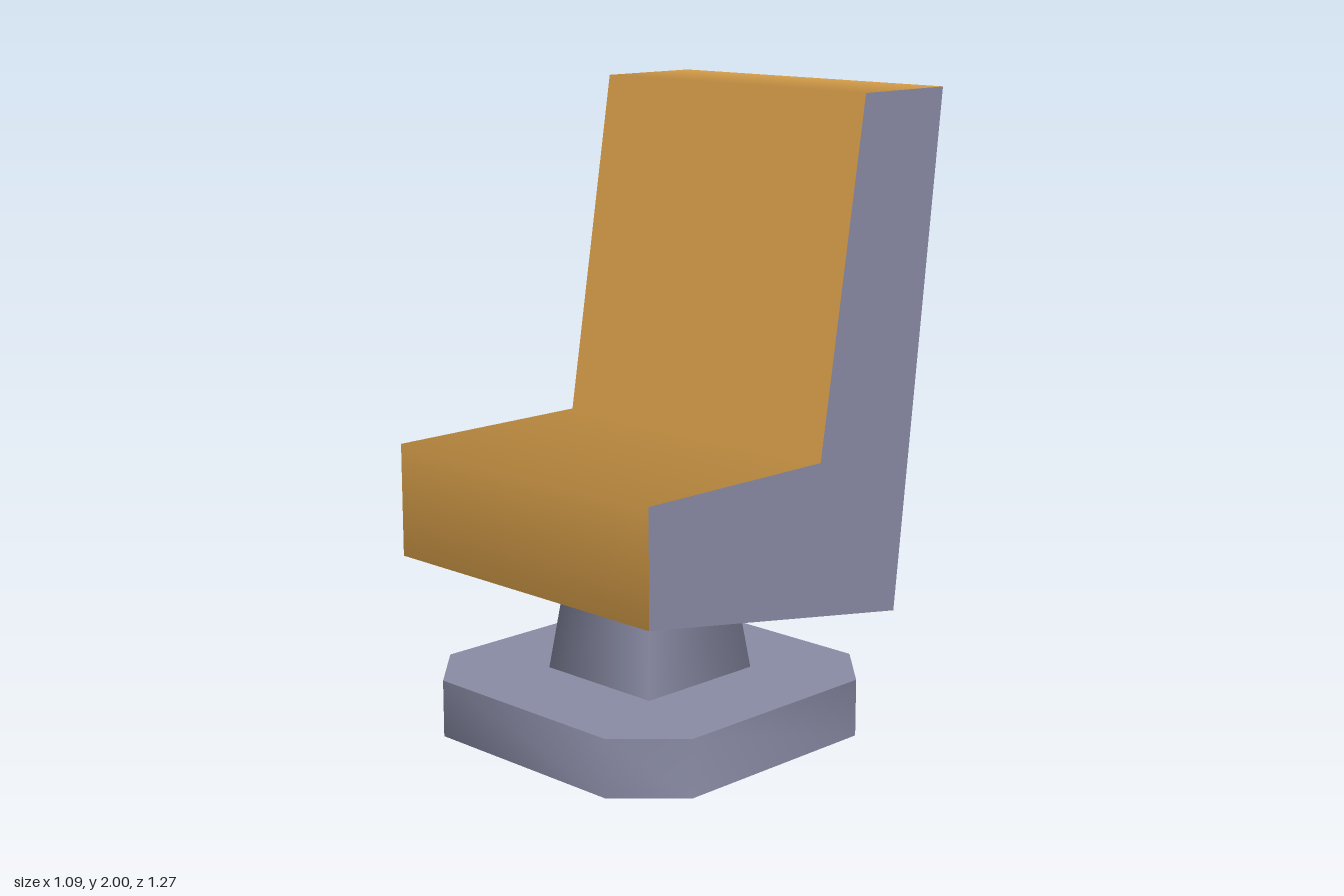
import * as THREE from 'three';
import { toCreasedNormals } from 'three/addons/utils/BufferGeometryUtils.js';

const HALF = 0.545; // half width of the seat and base

// Seat outline as [z, y], going from the top rear edge forward and round
const OUTLINE = [
  [-0.635, 2], [-0.27, 2], [-0.09, 0.91], [0.635, 0.91], [0.635, 0.55], [-0.45, 0.37],
];

// Sheet across the full width that follows a [z, y] path; normals are optional [z, y]
function strip(path, normals) {
  const geo = new THREE.PlaneGeometry(1, 1, 1, path.length - 1);
  const pos = geo.attributes.position;
  path.forEach(([z, y], row) => {
    pos.setXYZ(row * 2, -HALF, y, z);
    pos.setXYZ(row * 2 + 1, HALF, y, z);
  });
  geo.computeVertexNormals();
  if (normals) {
    normals.forEach(([z, y], row) => {
      const n = new THREE.Vector3(0, y, z).normalize();
      for (let i = 0; i < 2; i++) geo.attributes.normal.setXYZ(row * 2 + i, n.x, n.y, n.z);
    });
  }
  return geo;
}

export function createModel() {
  const shellGrey = new THREE.MeshStandardMaterial({ color: 0x8a8ca6 });
  shellGrey.name = 'shellGrey';
  const cushionOrange = new THREE.MeshStandardMaterial({ color: 0xe0a54d });
  cushionOrange.name = 'cushionOrange';

  const model = new THREE.Group();
  model.name = 'chair';
  const add = (parent, name, geo, mat) => {
    const mesh = new THREE.Mesh(geo, mat);
    mesh.name = name;
    parent.add(mesh);
    return mesh;
  };

  // Seat: one softly shaded cushion sheet over a flat shell
  const seat = new THREE.Group();
  seat.name = 'seat';
  model.add(seat);
  add(seat, 'cushion', strip(OUTLINE.slice(0, 5),
    [[-0.25, 1], [1, 0.12], [1, 0.12], [1, 0], [1, -0.3]]), cushionOrange);
  add(seat, 'seatUnderside', strip([OUTLINE[4], OUTLINE[5]]), shellGrey);
  add(seat, 'seatBack', strip([OUTLINE[5], OUTLINE[0]]), shellGrey);
  for (const side of [1, -1]) {
    const shape = new THREE.Shape(OUTLINE.map(([z, y]) => new THREE.Vector2(-side * z, y)));
    const panel = new THREE.ShapeGeometry(shape).rotateY(side * Math.PI / 2);
    panel.translate(side * HALF, 0, 0);
    add(seat, side > 0 ? 'leftPanel' : 'rightPanel', panel, shellGrey);
  }

  // Pedestal: square tapered stem cut to the slope of the seat underside
  const stem = new THREE.CylinderGeometry(1, 1, 1, 4, 1, true, Math.PI / 4);
  const pos = stem.attributes.position;
  for (let i = 0; i < pos.count; i++) {
    const sx = Math.sign(pos.getX(i)), front = pos.getZ(i) > 0;
    if (pos.getY(i) < 0) pos.setXYZ(i, sx * 0.225, 0.18, front ? 0.317 : -0.135);
    else if (front) pos.setXYZ(i, sx * 0.185, 0.492, 0.278);
    else pos.setXYZ(i, sx * 0.193, 0.428, -0.103);
  }
  add(model, 'pedestal', stem, shellGrey);

  // Base: square slab with cut corners, sides shaded smoothly round the corners
  const c = HALF - 0.18;
  const corners = [[c, -HALF], [HALF, -c], [HALF, c], [c, HALF],
    [-c, HALF], [-HALF, c], [-HALF, -c], [-c, -HALF]];
  const slab = new THREE.ExtrudeGeometry(
    new THREE.Shape(corners.map(([x, y]) => new THREE.Vector2(x, y))),
    { depth: 0.183, bevelEnabled: false });
  slab.rotateX(-Math.PI / 2);
  add(model, 'base', toCreasedNormals(slab, 1), shellGrey).position.z = 0.091;

  return model;
}
